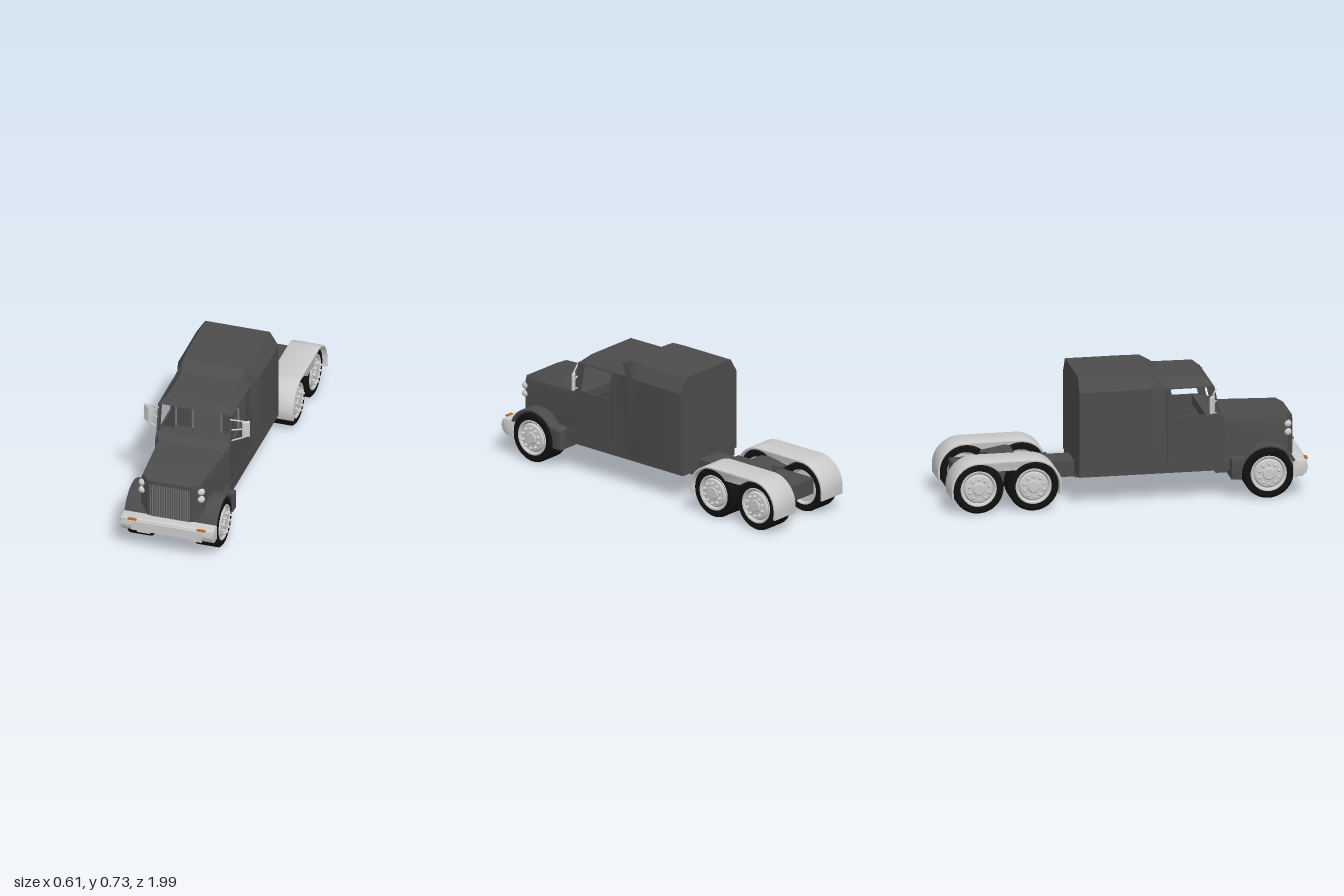
import * as THREE from 'three';
import { toCreasedNormals } from 'three/addons/utils/BufferGeometryUtils.js';
import { RoundedBoxGeometry } from 'three/addons/geometries/RoundedBoxGeometry.js';

const material = (color) => new THREE.MeshStandardMaterial({ color, side: THREE.DoubleSide });
const paint = material(0x4c4c4c), grey = material(0xcccccc), rubber = material(0x111111);
const trim = material(0x777777), orange = material(0xcc6611);

export function createModel() {
  const model = new THREE.Group();

  function add(name, geometry, mat, parent = model) {
    const mesh = new THREE.Mesh(geometry, mat);
    mesh.name = name;
    parent.add(mesh);
    return mesh;
  }

  function box(name, [x0, x1], [y0, y1], [z0, z1], mat = paint, parent = model) {
    const g = new THREE.BoxGeometry(x1 - x0, y1 - y0, z1 - z0);
    g.translate((x0 + x1) / 2, (y0 + y1) / 2, (z0 + z1) / 2);
    return add(name, g, mat, parent);
  }

  // Side profile drawn in (z, y), extruded between two x positions
  function sidePanel(name, shape, x0, x1, mat, bevel = 0) {
    const g = new THREE.ExtrudeGeometry(shape, {
      depth: x1 - x0 - 2 * bevel, curveSegments: 20, bevelEnabled: bevel > 0,
      bevelSize: bevel, bevelThickness: bevel, bevelOffset: -bevel, bevelSegments: 2,
    });
    g.rotateY(-Math.PI / 2).translate(x1 - bevel, 0, 0);
    return add(name, toCreasedNormals(g, 0.6), mat);
  }

  function rod(name, a, b, r, mat = grey, parent = model) {
    const curve = new THREE.LineCurve3(new THREE.Vector3(...a), new THREE.Vector3(...b));
    return add(name, new THREE.TubeGeometry(curve, 1, r, 8), mat, parent);
  }

  // Skin through sections [z, halfWidth, shoulderY, roofHalfWidth, roofY, bottomY]
  function loft(name, sections, closed, capEnd) {
    const rings = sections.map(([z, w, sh, rw, top, bottom]) => {
      const half = bottom === undefined ? [[rw, top], [w, sh]] : [[rw, top], [w, sh], [w, bottom]];
      const right = half.map(([x, y]) => [-x, y, z]).reverse();
      return [...right, ...half.map(([x, y]) => [x, y, z])];
    });
    const n = rings[0].length, pos = [];
    const tri = (a, b, c) => pos.push(...a, ...b, ...c);
    for (let i = 0; i < rings.length - 1; i++) {
      for (let j = 0; j < (closed ? n : n - 1); j++) {
        const k = (j + 1) % n, A = rings[i], B = rings[i + 1];
        tri(A[j], A[k], B[j]);
        tri(A[k], B[k], B[j]);
      }
    }
    if (capEnd !== undefined) {
      const cap = rings.at(capEnd);
      for (let j = 1; j < n - 1; j++) {
        if (capEnd === 0) tri(cap[0], cap[j + 1], cap[j]);
        else tri(cap[0], cap[j], cap[j + 1]);
      }
    }
    const g = new THREE.BufferGeometry();
    g.setAttribute('position', new THREE.Float32BufferAttribute(pos, 3));
    g.computeVertexNormals();
    return add(name, toCreasedNormals(g, 0.4), paint);
  }

  const polygon = (pts) => new THREE.Shape(pts.map(([z, y]) => new THREE.Vector2(z, y)));

  // Sleeper, roof and hood skins
  loft('sleeper', [
    [-0.28, 0.235, 0.645, 0.185, 0.725, 0.2],
    [0.05, 0.235, 0.645, 0.185, 0.725, 0.2],
    [0.13, 0.213, 0.642, 0.178, 0.725, 0.2],
    [0.2, 0.21, 0.64, 0.165, 0.687, 0.2],
  ], true, 0);
  loft('cabRoof', [
    [0.2, 0.21, 0.64, 0.165, 0.687],
    [0.42, 0.21, 0.64, 0.165, 0.685],
    [0.472, 0.21, 0.634, 0.2, 0.638],
  ], false);
  loft('hood', [
    [0.495, 0.21, 0.45, 0.205, 0.475, 0.18],
    [0.545, 0.196, 0.425, 0.188, 0.446, 0.18],
    [0.885, 0.176, 0.415, 0.167, 0.442, 0.18],
    [0.92, 0.125, 0.412, 0.125, 0.428, 0.18],
  ], false, -1);

  // Cab sides with window openings
  const side = polygon([[0.19, 0.2], [0.53, 0.2], [0.53, 0.44], [0.507, 0.472], [0.472, 0.64], [0.19, 0.64]]);
  side.holes.push(polygon([[0.23, 0.633], [0.26, 0.477], [0.464, 0.477], [0.432, 0.633]]));
  for (const s of [-1, 1]) {
    sidePanel('cabSide', side, s > 0 ? 0.202 : -0.212, s > 0 ? 0.212 : -0.202, paint);
    const x = s * 0.213;
    rod('doorSeam', [x, 0.23, 0.215], [x, 0.62, 0.215], 0.0015);
    model.children.at(-1).material = paint;
  }
  box('dashboard', [-0.205, 0.205], [0.42, 0.472], [0.43, 0.5]);
  box('cabFloor', [-0.21, 0.21], [0.16, 0.23], [0.19, 0.56]);
  box('sideSkirt', [-0.215, 0.215], [0.16, 0.226], [-0.28, 0.56]);
  box('sleeperLocker', [0.105, 0.205], [0.23, 0.55], [-0.2, 0]);

  // Seats with a piped rounded back
  for (const x of [-0.145, 0.105]) {
    const seat = new THREE.Group();
    seat.name = 'seat';
    seat.position.x = x + 0.005 * Math.sign(x);
    model.add(seat);
    box('seatCushion', [-0.05, 0.05], [0.3, 0.34], [0.2, 0.31], paint, seat);
    box('seatBack', [-0.045, 0.045], [0.33, 0.52], [0.17, 0.2], paint, seat);
    const arch = [[-0.048, 0.34], [-0.048, 0.5], [-0.028, 0.527], [0.028, 0.527], [0.048, 0.5], [0.048, 0.34]];
    const path = new THREE.CatmullRomCurve3(arch.map(([a, b]) => new THREE.Vector3(a, b, 0.2)), false, 'catmullrom', 0.2);
    add('seatPiping', new THREE.TubeGeometry(path, 30, 0.007, 6), trim, seat);
  }

  // Grille
  box('grilleFrame', [-0.116, 0.116], [0.19, 0.412], [0.91, 0.922]);
  for (let i = 0; i < 23; i++) {
    const x = -0.11 + i * 0.01;
    rod('grilleBar', [x, 0.195, 0.923], [x, 0.408, 0.923], 0.0033, trim);
  }

  // Chassis, frame and coupling plate
  box('frontChassis', [-0.11, 0.11], [0.115, 0.25], [0.5, 0.91]);
  box('middleChassis', [-0.1, 0.1], [0.13, 0.2], [-0.28, 0.56]);
  box('frameNeck', [-0.08, 0.08], [0.13, 0.22], [-0.42, -0.26]);
  box('rearFrame', [-0.11, 0.11], [0.13, 0.22], [-0.94, -0.4]);
  box('couplingMount', [-0.05, 0.05], [0.2, 0.255], [-0.73, -0.65]);
  const plate = polygon([[-0.08, -0.06], [-0.05, -0.085], [0.05, -0.085], [0.08, -0.06], [0.08, 0.07], [0.045, 0.085], [0, 0.03], [-0.045, 0.085], [-0.08, 0.07]]);
  const plateGeometry = new THREE.ExtrudeGeometry(plate, { depth: 0.015, bevelEnabled: false });
  const coupling = add('couplingPlate', plateGeometry.rotateX(-Math.PI / 2), paint);
  coupling.position.set(0, 0.26, -0.695);
  coupling.rotation.x = -0.17;

  // Bumper with a chamfered profile, its ends swept back
  const bumper = sidePanel('bumper', polygon([
    [0.9, 0.115], [0.965, 0.115], [0.99, 0.135], [1, 0.165], [0.992, 0.2], [0.982, 0.207], [0.9, 0.207],
  ]), -0.265, 0.265, grey, 0.006);
  const bp = bumper.geometry.attributes.position;
  for (let i = 0; i < bp.count; i++) {
    if (Math.abs(bp.getX(i)) > 0.25 && bp.getZ(i) > 0.94) bp.setZ(i, bp.getZ(i) - 0.016);
  }
  box('bumperCenter', [-0.2, 0.2], [0.14, 0.195], [0.95, 0.99], grey);

  // Tyre and rim profiles as [radius, offset along the axle]
  const lathe = (pts) => toCreasedNormals(
    new THREE.LatheGeometry(pts.map(([r, x]) => new THREE.Vector2(r, x)), 40).rotateZ(-Math.PI / 2), 0.6);
  const tyre = lathe([[0.1, -0.068], [0.128, -0.07], [0.14, -0.06], [0.14, 0.06], [0.128, 0.07], [0.1, 0.068]]);
  const rim = lathe([[0.102, 0.066], [0.098, 0.072], [0.09, 0.07], [0.082, 0.06], [0.074, 0.07], [0.035, 0.074], [0.03, 0.08], [0, 0.08]]);
  const innerRim = lathe([[0.102, -0.066], [0.095, -0.066], [0.088, -0.05], [0, -0.05]]);
  const bolt = new THREE.SphereGeometry(0.0085, 10, 8);

  for (const s of [-1, 1]) {
    for (const z of [0.765, -0.54, -0.845]) {
      const wheel = new THREE.Group();
      wheel.name = z > 0 ? 'frontWheel' : 'rearWheel';
      wheel.position.set(s * 0.192, 0.14, z);
      wheel.rotation.y = s > 0 ? 0 : Math.PI;
      model.add(wheel);
      add('tyre', tyre, rubber, wheel);
      add('rim', rim, grey, wheel);
      add('innerRim', innerRim, grey, wheel);
      for (let i = 0; i < 10; i++) {
        const a = (i / 10) * Math.PI * 2;
        const b = add('wheelBolt', bolt, grey, wheel);
        b.position.set(0.08, 0.057 * Math.cos(a), 0.057 * Math.sin(a));
        b.scale.x = 1.6;
      }
    }

    // Front fender: arch with a rear skirt
    const arch = new THREE.Shape();
    arch.moveTo(0.922, 0.19).absarc(0.765, 0.14, 0.163, 0.42, 2.5, false);
    arch.lineTo(0.595, 0.235).lineTo(0.56, 0.225).lineTo(0.56, 0.115).lineTo(0.617, 0.115);
    arch.absarc(0.765, 0.14, 0.147, Math.PI, 0.33, true);
    sidePanel('frontFender', arch, s > 0 ? 0.13 : -0.264, s > 0 ? 0.264 : -0.13, paint, 0.006);

    // Rear mudguard spanning both wheels
    const guard = new THREE.Shape();
    guard.moveTo(-0.388, 0.095).absarc(-0.54, 0.14, 0.155, 0, Math.PI / 2, false);
    guard.absarc(-0.845, 0.14, 0.155, Math.PI / 2, Math.PI, false);
    guard.lineTo(-0.998, 0.095).lineTo(-0.986, 0.095);
    guard.absarc(-0.845, 0.14, 0.143, Math.PI, Math.PI / 4, true);
    guard.absarc(-0.54, 0.14, 0.143, Math.PI * 0.75, 0, true).lineTo(-0.4, 0.095);
    sidePanel('rearMudguard', guard, s > 0 ? 0.11 : -0.284, s > 0 ? 0.284 : -0.11, grey, 0.003);

    // Paired headlights, bumper marker and bracket
    for (const y of [0.345, 0.392]) {
      const lamp = new THREE.SphereGeometry(0.021, 20, 12);
      add('headlight', lamp, grey).position.set(s * 0.168, y, 0.888);
    }
    const cx = s * 0.197;
    box('markerLight', [cx - 0.023, cx + 0.023], [0.2, 0.208], [0.975, 0.99], orange);
    box('bumperBracket', [s * 0.147 - 0.037, s * 0.147 + 0.037], [0.094, 0.12], [0.905, 0.935], grey);

    // Mirror on three arms
    const mirror = add('mirror', new RoundedBoxGeometry(0.046, 0.1, 0.018, 3, 0.008), grey);
    mirror.position.set(s * 0.283, 0.553, 0.447);
    mirror.rotation.y = s * 0.6;
    for (const [y0, y1] of [[0.62, 0.603], [0.555, 0.555], [0.487, 0.503]]) {
      const a = y0 + (y1 - y0) * 0.3;
      rod('mirrorArm', [s * 0.205, y0 + (y0 - a) * 0.3, 0.485], [s * 0.275, y1, 0.452], 0.0045);
    }
    rod('mirrorBar', [s * 0.275, 0.5, 0.452], [s * 0.275, 0.606, 0.452], 0.005);
  }

  // Axles
  for (const z of [0.765, -0.54, -0.845]) rod('axle', [-0.15, 0.14, z], [0.15, 0.14, z], 0.02, paint);

  return model;
}
